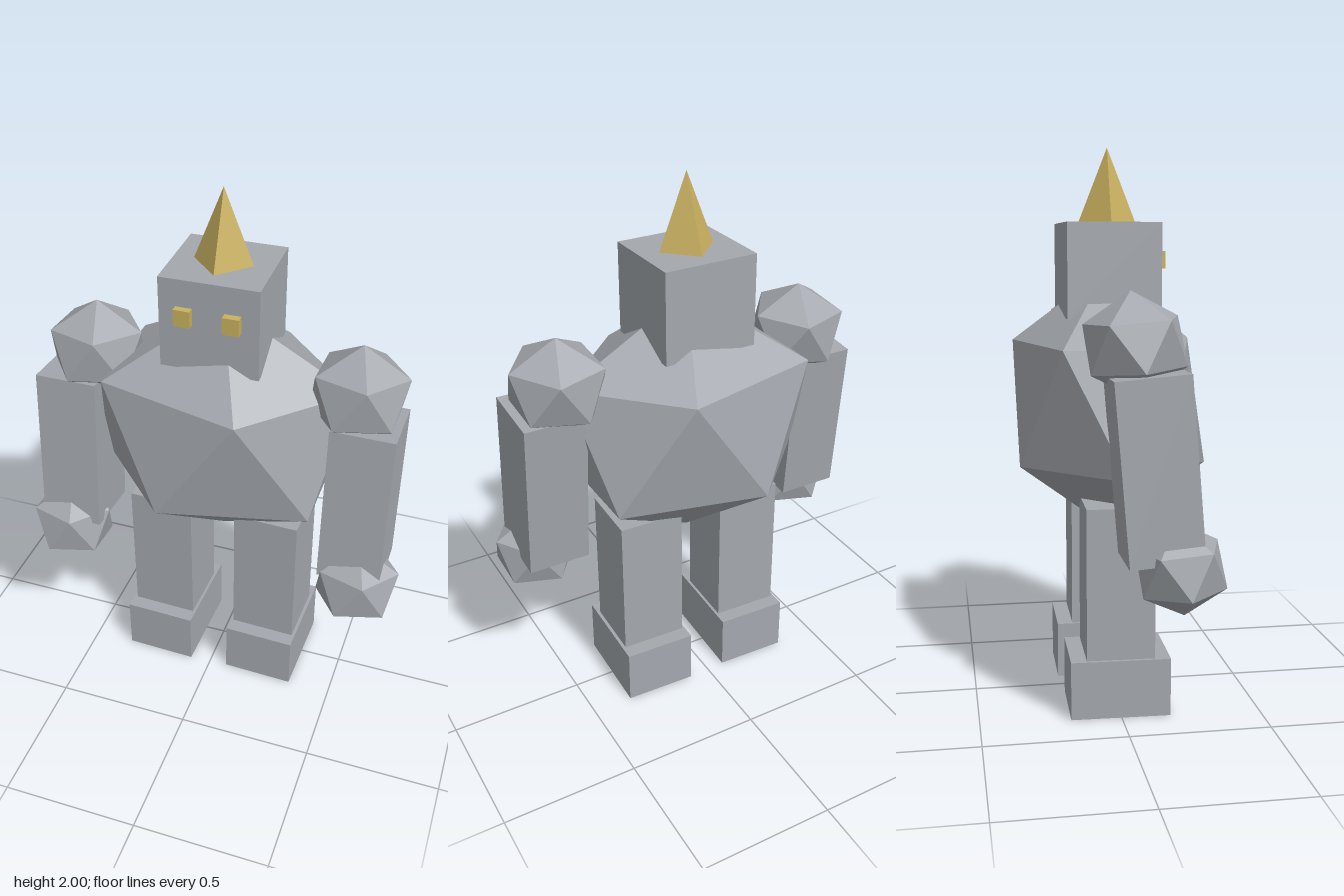
import * as THREE from 'three';

export function createModel() {
  const model = new THREE.Group();
  model.name = 'stoneGolem';

  const stone = new THREE.MeshStandardMaterial({ color: 0xa4a8ae, flatShading: true });
  stone.name = 'grey stone';
  const gold = new THREE.MeshStandardMaterial({ color: 0xc9b060, flatShading: true });
  gold.name = 'dull gold';

  function add(name, geometry, material, position, rotation = [0, 0, 0]) {
    const mesh = new THREE.Mesh(geometry, material);
    mesh.name = name;
    mesh.position.set(...position);
    mesh.rotation.set(...rotation);
    model.add(mesh);
    return mesh;
  }

  // Icosahedron standing on a corner, stretched per axis
  function boulder(rx, ry, rz) {
    const g = new THREE.IcosahedronGeometry(1, 0);
    g.rotateZ(-Math.atan(2 / (1 + Math.sqrt(5))));
    g.scale(rx, ry, rz);
    return g;
  }
  const box = (w, h, d) => new THREE.BoxGeometry(w, h, d);

  // Torso, head and horn
  add('torso', boulder(0.53, 0.482, 0.394), stone, [0, 1.093, 0]);
  add('head', box(0.35, 0.335, 0.335), stone, [0.001, 1.568, -0.001], [0, 0.015, 0]);
  add('horn', new THREE.ConeGeometry(0.105, 0.265, 4), gold, [0, 1.8675, 0]);

  const swing = -0.085; // arms hang slightly forward
  const turn = -0.03; // legs turn slightly to one side

  for (const side of [-1, 1]) {
    const label = side > 0 ? 'left' : 'right';

    // Eye
    add(`${label}Eye`, box(0.058, 0.062, 0.06), gold, [side * 0.085 + 0.002, 1.605, 0.163]);

    // Arm
    add(`${label}Shoulder`, boulder(0.19, 0.178, 0.188), stone,
      [side * 0.485 + 0.01, 1.333, 0.018], [swing, 0, 0]);
    add(`${label}Arm`, box(0.23, 0.607, 0.25), stone, [side * 0.545, 0.943, 0.07], [swing, 0, 0]);
    add(`${label}Fist`, boulder(0.168, 0.16, 0.165), stone,
      [side * 0.568, 0.604, 0.157], [swing, 0, 0]);

    // Leg
    add(`${label}Leg`, box(0.245, 0.555, 0.243), stone, [side * 0.208, 0.4775, 0.003], [0, turn, 0]);
    add(`${label}Foot`, box(0.268, 0.21, 0.355), stone, [side * 0.209, 0.105, 0.002], [0, turn, 0]);
  }

  return model;
}
